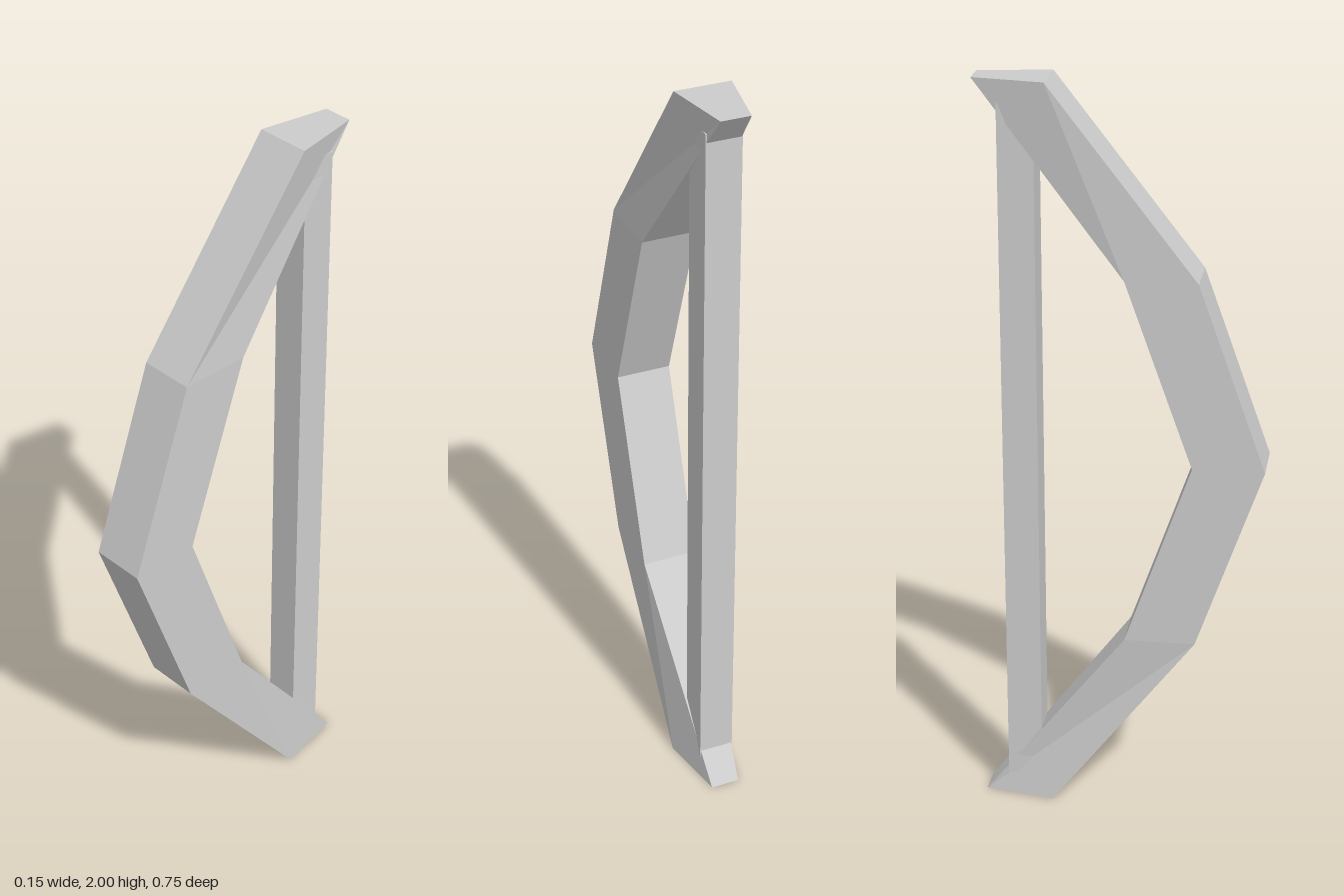
import * as THREE from 'three';

const grey = new THREE.MeshStandardMaterial({ color: 0xcccccc, flatShading: true });
grey.name = 'plain grey';

// Bent bar joining horizontal four-cornered sections, from bottom to top
function bentBar(sections) {
  const rings = sections.map(({ y, front, back, frontHalf, backHalf }) => [
    [-frontHalf, y, front], [frontHalf, y, front],
    [backHalf, y, back], [-backHalf, y, back],
  ]);
  const points = [];
  const quad = (a, b, c, d) => points.push(...a, ...b, ...c, ...a, ...c, ...d);
  for (let i = 0; i < rings.length - 1; i++) {
    for (let k = 0; k < 4; k++) {
      const n = (k + 1) % 4;
      quad(rings[i][k], rings[i][n], rings[i + 1][n], rings[i + 1][k]);
    }
  }
  quad(...rings[rings.length - 1]);
  quad(...[...rings[0]].reverse());
  const geometry = new THREE.BufferGeometry();
  geometry.setAttribute('position', new THREE.Float32BufferAttribute(points, 3));
  geometry.computeVertexNormals();
  return geometry;
}

export function createModel() {
  const group = new THREE.Group();
  group.name = 'bow';

  // Curved limb: lower half mirrored upward, tips narrowing at the back
  const lower = [
    { y: 0, front: -0.188, back: -0.377, frontHalf: 0.074, backHalf: 0.039 },
    { y: 0.5, front: 0.2, back: 0.011, frontHalf: 0.074, backHalf: 0.074 },
  ];
  const middle = { y: 1, front: 0.377, back: 0.188, frontHalf: 0.074, backHalf: 0.074 };
  const upper = lower.map((s) => ({ ...s, y: 2 - s.y })).reverse();
  const limb = new THREE.Mesh(bentBar([...lower, middle, ...upper]), grey);
  limb.name = 'limb';
  group.add(limb);

  // Straight square string, its ends sunk into the tips
  const string = new THREE.Mesh(new THREE.BoxGeometry(0.094, 1.88, 0.093), grey);
  string.name = 'string';
  string.position.set(0, 1, -0.267);
  group.add(string);

  return group;
}
